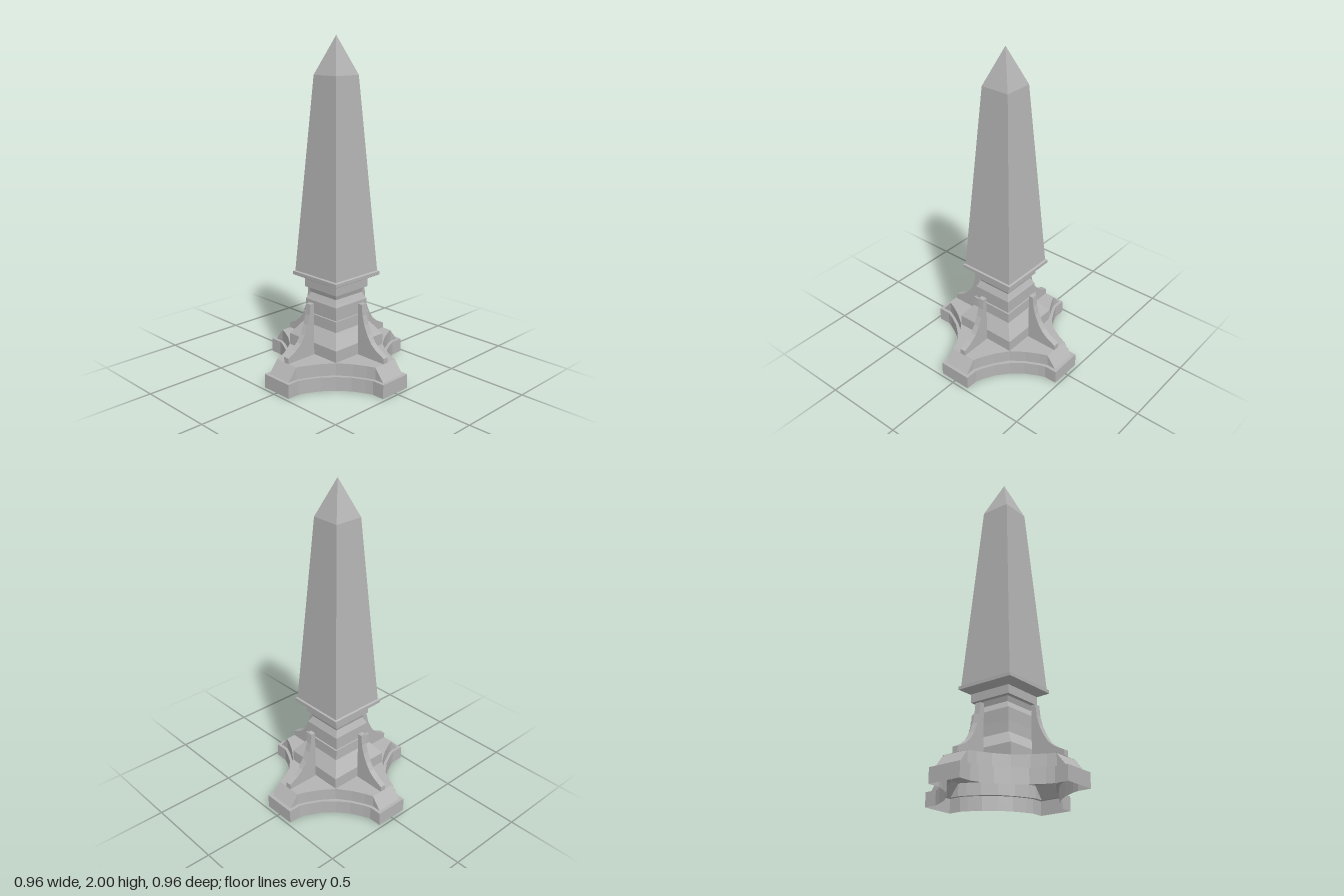
import * as THREE from 'three';

export function createModel() {
  const group = new THREE.Group();
  group.name = 'obelisk';
  const stone = new THREE.MeshStandardMaterial({ color: 0xb4b4b4, flatShading: true, side: THREE.DoubleSide });
  stone.name = 'grey stone';

  const add = (name, geometry) => {
    const mesh = new THREE.Mesh(geometry, stone);
    mesh.name = name;
    group.add(mesh);
    return mesh;
  };

  // Square-section tower from [half width, height] profiles
  const squareLathe = (profile) => new THREE.LatheGeometry(
    profile.map(([w, y]) => new THREE.Vector2(w * Math.SQRT2, y)), 4, Math.PI / 4);

  add('pedestal', squareLathe([
    [0.198, 0.16], [0.198, 0.23], [0.14, 0.31], [0.138, 0.375], [0.128, 0.375],
    [0.128, 0.455], [0.12, 0.47], [0.107, 0.495], [0.115, 0.525], [0.132, 0.53], [0.132, 0.58],
  ]));
  add('cornice', squareLathe([
    [0.132, 0.58], [0.182, 0.605], [0.182, 0.625], [0.172, 0.63],
  ]));
  add('shaft', squareLathe([[0.172, 0.63], [0.09, 1.78]]));
  add('pointedCap', squareLathe([[0.09, 1.78], [0, 2]]));

  // Four-armed outline with concave sides: half of one quadrant, mirrored and turned
  const outline = (half) => {
    const quadrant = [...half, ...half.slice(0, -1).reverse().map(([x, z]) => [z, x])];
    const points = [];
    for (let k = 0, q = quadrant; k < 4; k++) {
      points.push(...q);
      q = q.map(([x, z]) => [z, -x]);
    }
    return points;
  };
  const outer = outline([[0.103, 0.48], [0.103, 0.402], [0.12, 0.36], [0.16, 0.285], [0.217, 0.217]]);
  const curve = [[0.083, 0.402], [0.102, 0.355], [0.142, 0.28], [0.2, 0.2]];
  const inner = outline([[0.083, 0.46], ...curve]);
  const topRim = outline([[0.083, 0.4], ...curve]);

  // Plinth shell, open underneath: rings of [outline, height]
  const band = (a, ya, b, yb) => {
    const v = [];
    a.forEach((p, i) => {
      const j = (i + 1) % a.length;
      const A = [p[0], ya, p[1]], B = [a[j][0], ya, a[j][1]];
      const C = [b[j][0], yb, b[j][1]], D = [b[i][0], yb, b[i][1]];
      v.push(...A, ...B, ...C, ...A, ...C, ...D);
    });
    const g = new THREE.BufferGeometry();
    g.setAttribute('position', new THREE.Float32BufferAttribute(v, 3));
    g.computeVertexNormals();
    return g;
  };
  add('lowerStep', band(outer, 0, outer, 0.085));
  add('ledge', band(outer, 0.085, inner, 0.085));
  add('upperStep', band(inner, 0.085, topRim, 0.16));

  // Plinth top with an opening under the tower
  const top = new THREE.Shape(outline(curve).map(([x, z]) => new THREE.Vector2(x, z)));
  const s = 0.192;
  top.holes.push(new THREE.Path([[-s, -s], [s, -s], [s, s], [-s, s]].map(([x, y]) => new THREE.Vector2(x, y))));
  add('plinthTop', new THREE.ShapeGeometry(top).rotateX(-Math.PI / 2).translate(0, 0.16, 0));

  // Curved buttress fins, one on each arm
  const fin = new THREE.Shape([
    [0.2, 0.16], [0.403, 0.16], [0.403, 0.193], [0.345, 0.222], [0.305, 0.255], [0.275, 0.3],
    [0.25, 0.355], [0.235, 0.41], [0.228, 0.475], [0.2, 0.475],
  ].map(([x, y]) => new THREE.Vector2(x, y)));
  const finGeometry = new THREE.ExtrudeGeometry(fin, { depth: 0.036, bevelEnabled: false }).translate(0, 0, -0.018);
  ['left', 'back', 'right', 'front'].forEach((side, k) => {
    add(side + 'Buttress', finGeometry).rotation.y = k * Math.PI / 2;
  });

  return group;
}
